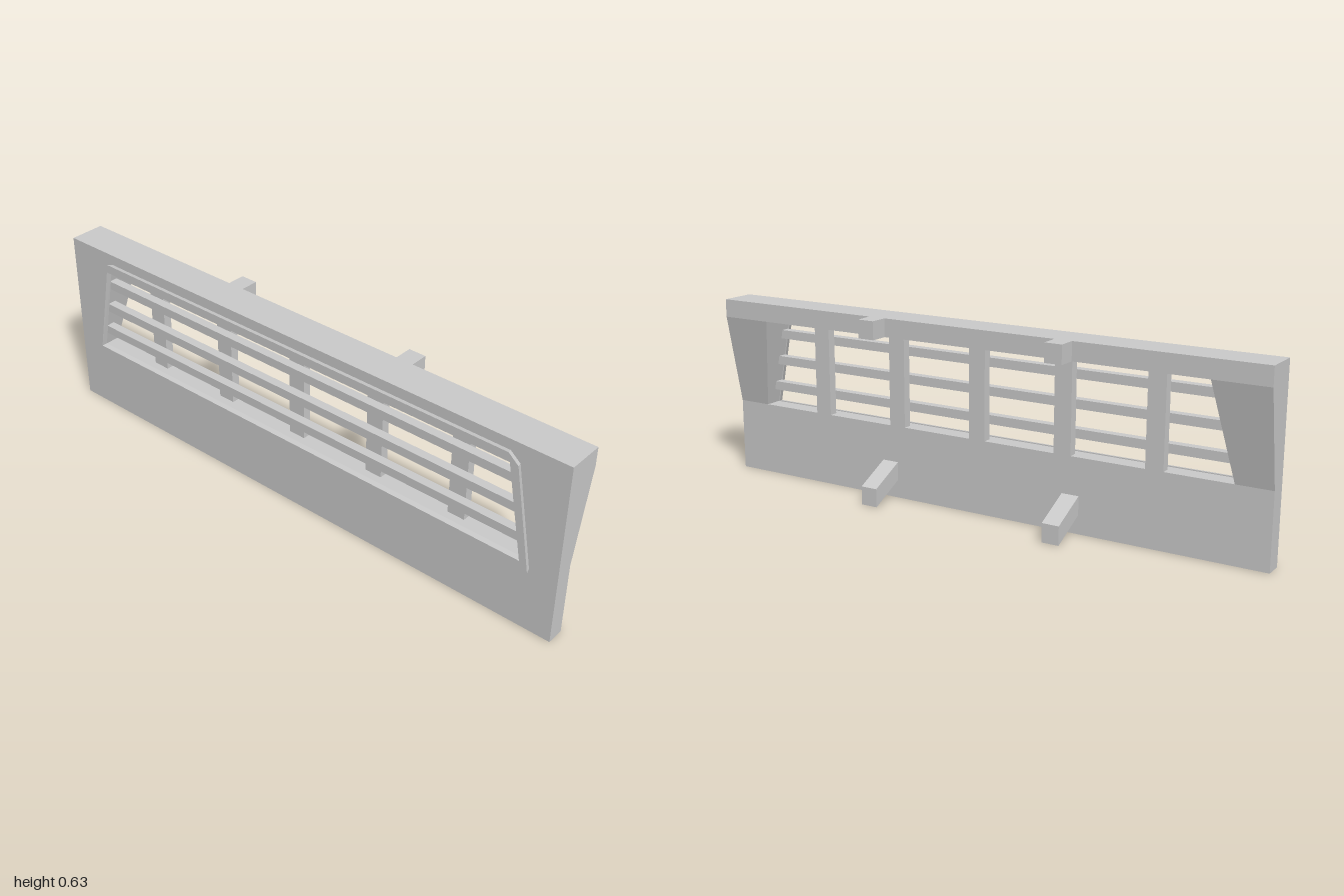
import * as THREE from 'three';

const FRONT = 0.085, BACK = 0.025, DEEP = -0.038;   // panel depths along z
const H = 0.627, LOW = 0.25, HIGH = 0.565;          // panel height, opening bottom and top
const openX = (y) => 0.88 - (y - LOW) * 0.2;        // half width of the opening at height y
const backZ = (y) => THREE.MathUtils.mapLinear(THREE.MathUtils.clamp(y, LOW, HIGH), LOW, HIGH, BACK, DEEP);

export function createModel() {
  const model = new THREE.Group();
  const material = new THREE.MeshStandardMaterial({ color: 0xcccccc, flatShading: true });
  const add = (name, geometry) => {
    const mesh = new THREE.Mesh(geometry, material);
    mesh.name = name;
    model.add(mesh);
    return mesh;
  };
  const shapeOf = (pts) => new THREE.Shape(pts.map(([x, y]) => new THREE.Vector2(x, y)));
  const extrude = (shape, depth) => new THREE.ExtrudeGeometry(shape, { depth, bevelEnabled: false });
  const trapezoid = (y0, y1) => [[-openX(y0), y0], [openX(y0), y0], [openX(y1), y1], [-openX(y1), y1]];

  // Panel: front and sloping back faces in four pieces, then outer and opening walls
  const pos = [];
  const quad = (a, b, c, d) => pos.push(...a, ...b, ...c, ...a, ...c, ...d);
  const f = ([x, y]) => [x, y, FRONT];
  const b = ([x, y]) => [x, y, backZ(y)];
  const hole = trapezoid(LOW, HIGH);
  const outer = [[-1, 0], [1, 0], [1, LOW], [1, HIGH], [1, H], [-1, H], [-1, HIGH], [-1, LOW]];
  const pieces = [
    [outer[0], outer[1], outer[2], outer[7]],
    [outer[6], outer[3], outer[4], outer[5]],
    [hole[1], outer[2], outer[3], hole[2]],
    [outer[7], hole[0], hole[3], outer[6]],
  ];
  for (const p of pieces) {
    quad(...p.map(f));
    quad(...p.map(b).reverse());
  }
  const walls = (loop) => loop.forEach((p, i) => {
    const q = loop[(i + 1) % loop.length];
    quad(b(p), b(q), f(q), f(p));
  });
  walls(outer);
  walls([...hole].reverse());
  const panel = new THREE.BufferGeometry();
  panel.setAttribute('position', new THREE.Float32BufferAttribute(pos, 3));
  panel.computeVertexNormals();
  add('panel', panel);

  // Raised rim around the opening, slightly undercut towards the panel
  const rimShape = shapeOf([[-0.91, 0.22], [0.91, 0.22], [0.845, 0.565], [0.81, 0.595], [-0.81, 0.595], [-0.845, 0.565]]);
  rimShape.holes.push(shapeOf(hole));
  const rim = extrude(rimShape, 0.017).translate(0, 0, FRONT);
  const rp = rim.attributes.position;
  for (let i = 0; i < rp.count; i++) {
    if (rp.getZ(i) < FRONT + 0.001) {
      rp.setX(i, rp.getX(i) * 0.995);
      rp.setY(i, 0.4075 + (rp.getY(i) - 0.4075) * 0.98);
    }
  }
  rim.computeVertexNormals();
  add('openingRim', rim);

  // Horizontal slats in front, upright bars behind them
  for (const y of [0.316, 0.41, 0.505]) {
    add('slat', extrude(shapeOf(trapezoid(y - 0.015, y + 0.015)), 0.03).translate(0, 0, 0.055));
  }
  for (let i = -2; i <= 2; i++) {
    add('uprightBar', new THREE.BoxGeometry(0.06, HIGH - LOW, 0.03))
      .position.set(i * 0.313, (LOW + HIGH) / 2, 0.04);
  }

  // Rear mounting pegs: square at the top, slanting down at the bottom
  for (const x of [-0.344, 0.344]) {
    add('upperPeg', new THREE.BoxGeometry(0.06, H - HIGH, 0.062))
      .position.set(x, (H + HIGH) / 2, DEEP - 0.031);
    const peg = extrude(shapeOf([[-BACK, 0.063], [0.1, 0], [0.1, 0.063], [-BACK, 0.125]]), 0.06);
    add('lowerPeg', peg.translate(0, 0, -0.03).rotateY(Math.PI / 2)).position.x = x;
  }
  return model;
}
